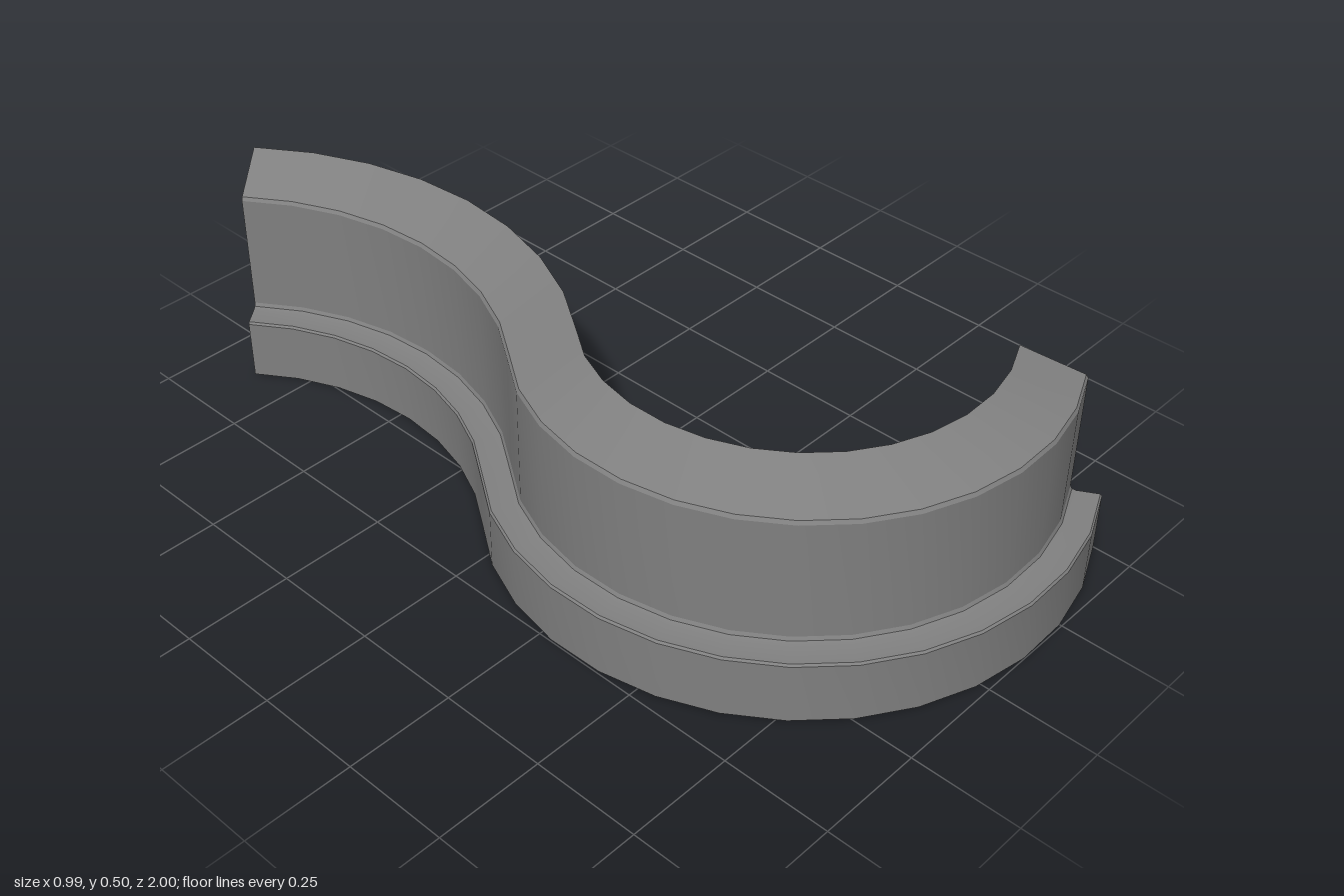
import * as THREE from 'three';
import { toCreasedNormals } from 'three/addons/utils/BufferGeometryUtils.js';

// Moulding profile: [distance inward from the outer edge, height]
const PROFILE = [
  [0, 0], [0, 0.143], [0.004, 0.148],                  // plinth
  [0.054, 0.148], [0.063, 0.151], [0.067, 0.159],      // ledge and cove
  [0.067, 0.438], [0.072, 0.446],                      // wall
  [0.21, 0.495],                                       // sloping rim
];

// Two tangent arcs forming the S; side is the direction of "inward" along the radius
const ARCS = [
  { x: -0.84, z: -0.475, radius: 0.63, side: 1, from: -38.5, to: 38.9, steps: 8 },
  { x: 0.165, z: 0.336, radius: 0.664, side: -1, from: 218.9, to: 60, steps: 14 },
];

// Stations along the plan curve: outer-edge point and inward direction
function planStations() {
  const stations = [];
  ARCS.forEach((arc, k) => {
    for (let i = k; i <= arc.steps; i++) {
      const a = THREE.MathUtils.degToRad(arc.from + (arc.to - arc.from) * i / arc.steps);
      const c = Math.cos(a), s = Math.sin(a);
      stations.push({
        x: arc.x + arc.radius * c, z: arc.z + arc.radius * s,
        nx: arc.side * c, nz: arc.side * s,
      });
    }
  });
  return stations;
}

// Sweep the open profile along the stations
function sweep(stations, profile) {
  const positions = [], index = [], n = profile.length;
  stations.forEach((p, i) => {
    profile.forEach(([d, y], j) => {
      positions.push(p.x + p.nx * d, y, p.z + p.nz * d);
      if (i === 0 || j === 0) return;
      const a = (i - 1) * n + j - 1, b = a + n;
      index.push(a, b, a + 1, b, b + 1, a + 1);
    });
  });
  const geometry = new THREE.BufferGeometry();
  geometry.setAttribute('position', new THREE.Float32BufferAttribute(positions, 3));
  geometry.setIndex(index);
  return toCreasedNormals(geometry, 0.4);
}

export function createModel() {
  const group = new THREE.Group();
  group.name = 'curvedCounter';
  const material = new THREE.MeshStandardMaterial({ color: 0x808080, side: THREE.DoubleSide });
  const stations = planStations();

  // Each part is a slice of the same profile
  const parts = { plinth: [0, 2], ledge: [2, 5], wall: [5, 7], slopingRim: [7, 8] };
  for (const [name, [first, last]] of Object.entries(parts)) {
    const mesh = new THREE.Mesh(sweep(stations, PROFILE.slice(first, last + 1)), material);
    mesh.name = name;
    group.add(mesh);
  }
  return group;
}
